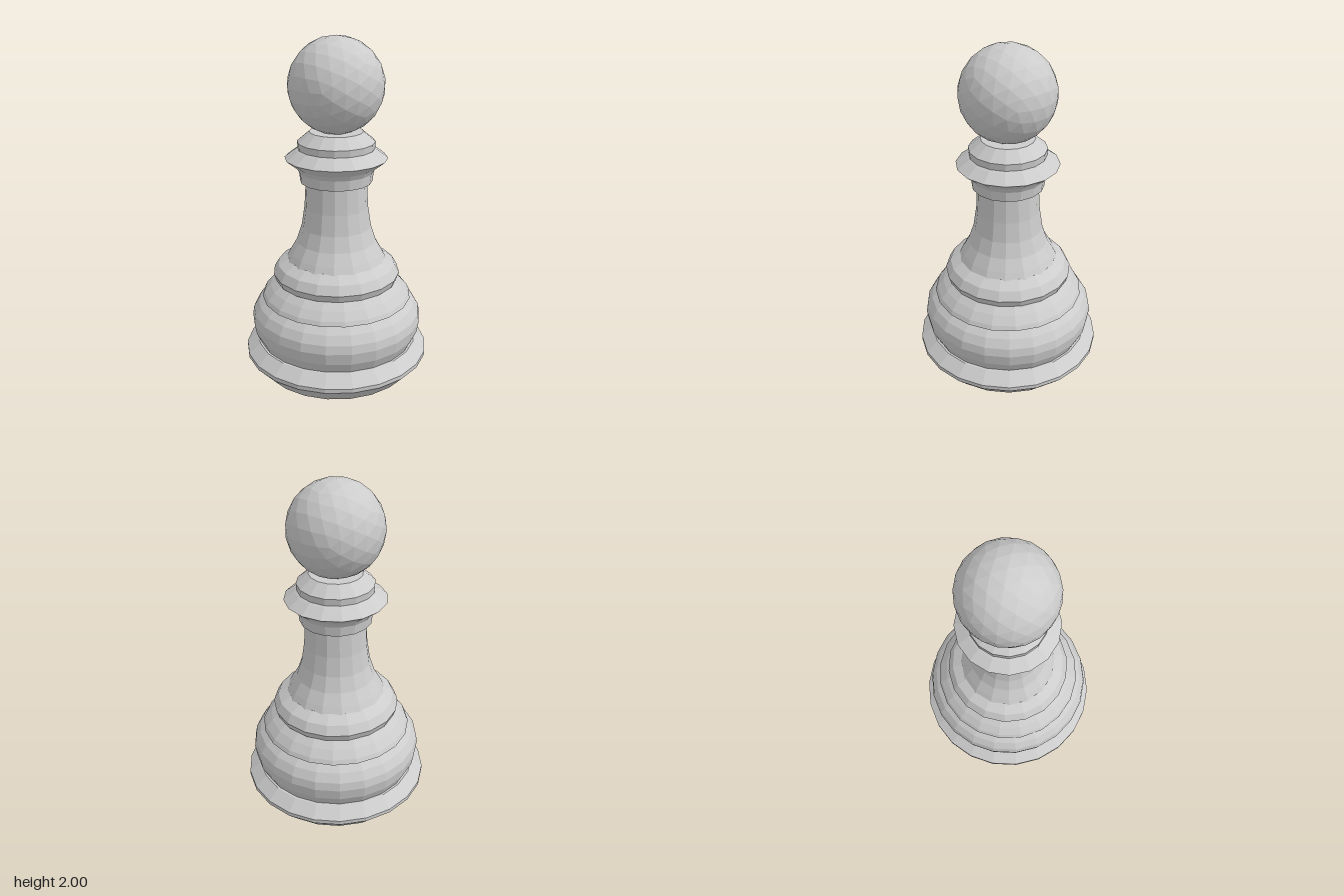
import * as THREE from 'three';

const material = new THREE.MeshStandardMaterial({ color: 0xcccccc, flatShading: true });

// Turned part from [radius, height] pairs, listed bottom to top
function turned(name, sides, profile) {
  const points = profile.map(([r, y]) => new THREE.Vector2(r, y));
  const mesh = new THREE.Mesh(new THREE.LatheGeometry(points, sides), material);
  mesh.name = name;
  return mesh;
}

export function createModel() {
  const group = new THREE.Group();
  group.name = 'pawn';

  // Foot with a closed underside and a bevelled rim
  group.add(turned('foot', 22, [
    [0, 0], [0.465, 0], [0.555, 0.1], [0.555, 0.125], [0.485, 0.185], [0.45, 0.185],
  ]));

  // Rounded belly
  group.add(turned('belly', 22, [
    [0.47, 0.18], [0.503, 0.25], [0.514, 0.32], [0.505, 0.37], [0.475, 0.42], [0.437, 0.455], [0.42, 0.455],
  ]));

  // Sloped shoulder with a slight overhang above the belly
  group.add(turned('shoulder', 20, [
    [0.42, 0.455], [0.45, 0.46], [0.438, 0.485], [0.4, 0.53], [0.355, 0.57], [0.33, 0.57],
  ]));

  // Lower ring
  group.add(turned('lowerRing', 18, [
    [0.33, 0.568], [0.365, 0.57], [0.38, 0.612], [0.35, 0.665], [0.29, 0.705], [0.26, 0.705],
  ]));

  // Flared stem
  group.add(turned('stem', 16, [
    [0.31, 0.67], [0.275, 0.74], [0.235, 0.81], [0.205, 0.9], [0.187, 1.02], [0.178, 1.18],
  ]));

  // Collar with a sharp flange
  group.add(turned('collar', 16, [
    [0.17, 1.17], [0.21, 1.175], [0.217, 1.235], [0.235, 1.265], [0.298, 1.315],
    [0.235, 1.362], [0.222, 1.37], [0.225, 1.41], [0.155, 1.468], [0, 1.468],
  ]));

  // Faceted ball head
  const head = new THREE.Mesh(new THREE.IcosahedronGeometry(0.274, 3), material);
  head.name = 'head';
  head.position.y = 1.727;
  group.add(head);

  return group;
}
